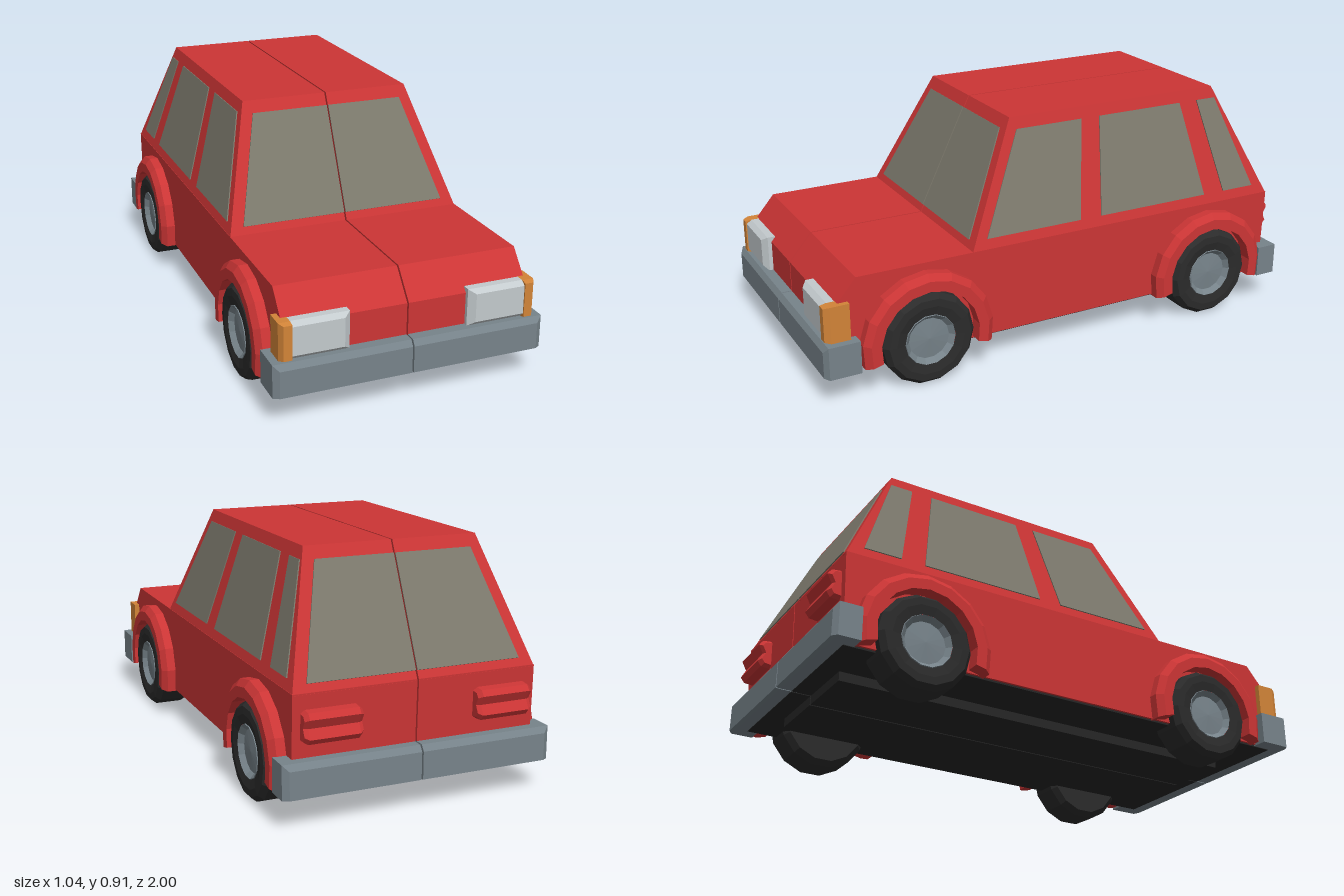
import * as THREE from 'three';

const mat = (name, color) => {
  const m = new THREE.MeshStandardMaterial({ color, flatShading: true });
  m.name = name;
  return m;
};

// Solid through a list of rings (equal point counts), capped at both ends and wound outwards.
function loft(rings) {
  const n = rings[0].length, last = rings.length - 1, tris = [];
  for (let i = 0; i < last; i++)
    for (let j = 0; j < n; j++) {
      const k = (j + 1) % n;
      const [a, b, c, d] = [rings[i][j], rings[i][k], rings[i + 1][k], rings[i + 1][j]];
      tris.push([a, b, c], [a, c, d]);
    }
  for (let j = 1; j < n - 1; j++) {
    tris.push([rings[0][0], rings[0][j + 1], rings[0][j]]);
    tris.push([rings[last][0], rings[last][j], rings[last][j + 1]]);
  }
  const v = tris.map(t => t.map(p => new THREE.Vector3(...p)));
  const volume = v.reduce((s, [a, b, c]) => s + a.dot(b.clone().cross(c)), 0);
  const points = v.flatMap(([a, b, c]) => (volume < 0 ? [a, c, b] : [a, b, c]));
  const g = new THREE.BufferGeometry().setFromPoints(points);
  g.computeVertexNormals();
  return g;
}

const rect = (x0, x1, y0, y1, z) => [[x0, y0, z], [x1, y0, z], [x1, y1, z], [x0, y1, z]];
const extrudeX = (profile, x0, x1) => [x0, x1].map(x => profile.map(([z, y]) => [x, y, z]));

export function createModel() {
  const model = new THREE.Group();
  model.name = 'hatchbackCar';
  const red = mat('red paint', 0xcc3535);
  const glass = mat('window grey', 0x7d7a6d);
  const steel = mat('bumper grey', 0x77838a);
  const lamp = mat('headlight silver', 0xc3cacd);
  const orange = mat('indicator orange', 0xd28438);
  const rubber = mat('tyre black', 0x2b2b2b);
  const under = mat('underbody black', 0x262626);

  const SEAM = 0.003, W = 0.465;

  const add = (name, geometry, material) => {
    const m = new THREE.Mesh(geometry, material);
    m.name = name;
    model.add(m);
    return m;
  };
  // Left part and its mirrored right twin
  const pair = (name, rings, material) => {
    for (const s of [1, -1])
      add((s > 0 ? 'left ' : 'right ') + name,
        loft(rings.map(r => r.map(([x, y, z]) => [s * x, y, z]))), material);
  };

  // Lower body and underside
  pair('lower body', extrudeX([[0.945, 0.125], [0.945, 0.365], [0.855, 0.47],
    [-0.955, 0.47], [-0.945, 0.125]], SEAM, W), red);
  pair('floor', [rect(SEAM, 0.455, 0.118, 0.126, 0.94), rect(SEAM, 0.455, 0.118, 0.126, -0.94)], under);
  pair('chassis plate', [rect(SEAM, 0.255, 0.083, 0.12, 0.83), rect(SEAM, 0.255, 0.083, 0.12, -0.865)], under);

  // Cabin tapering to the roof
  pair('cabin', [
    [[SEAM, 0.465, 0.4], [W, 0.465, 0.4], [W, 0.465, -0.955], [SEAM, 0.465, -0.955]],
    [[SEAM, 0.918, 0.18], [0.335, 0.918, 0.18], [0.335, 0.918, -0.74], [SEAM, 0.918, -0.74]],
  ], red);

  // Windows: thin plates lying on the sloping cabin faces
  const slope = (y, a, b) => THREE.MathUtils.lerp(a, b, (y - 0.465) / 0.453);
  const plate = (points, [dx, dy, dz]) =>
    [points, points.map(([x, y, z]) => [x + dx, y + dy, z + dz])];
  const endWindow = (name, zLow, zHigh, out) => {
    const y0 = 0.497, y1 = 0.873;
    const p = (x, y) => [x, y, slope(y, zLow, zHigh)];
    pair(name, plate([p(SEAM, y0), p(0.408, y0), p(0.303, y1), p(SEAM, y1)], out), glass);
  };
  endWindow('windscreen', 0.4, 0.18, [0, 0.002, 0.004]);
  endWindow('rear window', -0.955, -0.74, [0, 0.002, -0.004]);

  // Each entry: bottom front, bottom back, top back, top front (z)
  const sideWindows = {
    'front side window': [0.335, -0.065, -0.122, 0.157],
    'middle side window': [-0.158, -0.645, -0.577, -0.203],
    'rear side window': [-0.74, -0.885, -0.747, -0.66],
  };
  for (const [name, zs] of Object.entries(sideWindows)) {
    const points = zs.map((z, i) => {
      const y = i < 2 ? 0.507 : 0.873;
      return [slope(y, W, 0.335), y, z];
    });
    pair(name, plate(points, [0.004, 0.001, 0]), glass);
  }

  // Bumpers with chamfered outer corners
  const bumper = (name, back, edge, front) => pair(name, [
    rect(SEAM, 0.515, 0.12, 0.245, back),
    rect(SEAM, 0.515, 0.12, 0.245, edge),
    rect(SEAM, 0.493, 0.122, 0.223, front),
  ], steel);
  bumper('front bumper', 0.865, 0.985, 1);
  bumper('rear bumper', -0.9, -0.985, -1);

  // Front lamps
  pair('headlight', [
    rect(0.225, 0.442, 0.243, 0.385, 0.93),
    rect(0.225, 0.442, 0.243, 0.385, 0.96),
    rect(0.25, 0.442, 0.262, 0.37, 0.98),
  ], lamp);
  pair('indicator', [
    rect(0.442, 0.486, 0.245, 0.385, 0.89),
    rect(0.442, 0.486, 0.245, 0.385, 0.963),
    rect(0.442, 0.474, 0.25, 0.38, 0.985),
  ], orange);

  // Ridged tail lights, tapered at both ends
  const tail = [[-0.94, 0.415], [-0.985, 0.41], [-1, 0.39], [-0.982, 0.356],
    [-1, 0.322], [-0.985, 0.302], [-0.94, 0.297]];
  const tailRing = (x, k) => tail.map(([z, y]) =>
    [x, 0.356 + (y - 0.356) * k, -0.94 + (z + 0.94) * k]);
  pair('tail light', [tailRing(0.22, 0.8), tailRing(0.235, 1), tailRing(0.42, 1), tailRing(0.435, 0.8)], red);

  // Wheels and flared arches
  const SIDES = 14, Y = 0.183;
  const lathe = points =>
    new THREE.LatheGeometry(points.map(p => new THREE.Vector2(...p)), SIDES);
  const archSection = [[0.45, 0.26], [0.5, 0.26], [0.52, 0.235], [0.52, 0.195], [0.45, 0.195]];
  for (const [end, z] of [['front', 0.595], ['rear', -0.655]]) {
    const rings = [];
    for (let i = 0; i <= 10; i++) {
      const a = THREE.MathUtils.degToRad(-14 + 208 * i / 10);
      rings.push(archSection.map(([x, r]) => [x, Y + r * Math.sin(a), z + r * Math.cos(a)]));
    }
    pair(end + ' wheel arch', rings, red);

    for (const s of [1, -1]) {
      const wheel = new THREE.Group();
      wheel.name = `${s > 0 ? 'left' : 'right'} ${end} wheel`;
      const tyre = new THREE.Mesh(lathe([[0, -0.077], [0.16, -0.077], [0.181, -0.055],
        [0.181, 0.055], [0.163, 0.077], [0.135, 0.079], [0.1, 0.072]]), rubber);
      tyre.name = 'tyre';
      const hub = new THREE.Mesh(lathe([[0.102, 0.066], [0.098, 0.075], [0.08, 0.056], [0, 0.062]]), steel);
      hub.name = 'hub';
      wheel.add(tyre, hub);
      wheel.rotation.z = -s * Math.PI / 2;
      wheel.position.set(s * 0.437, Y, z);
      model.add(wheel);
    }
  }
  return model;
}
